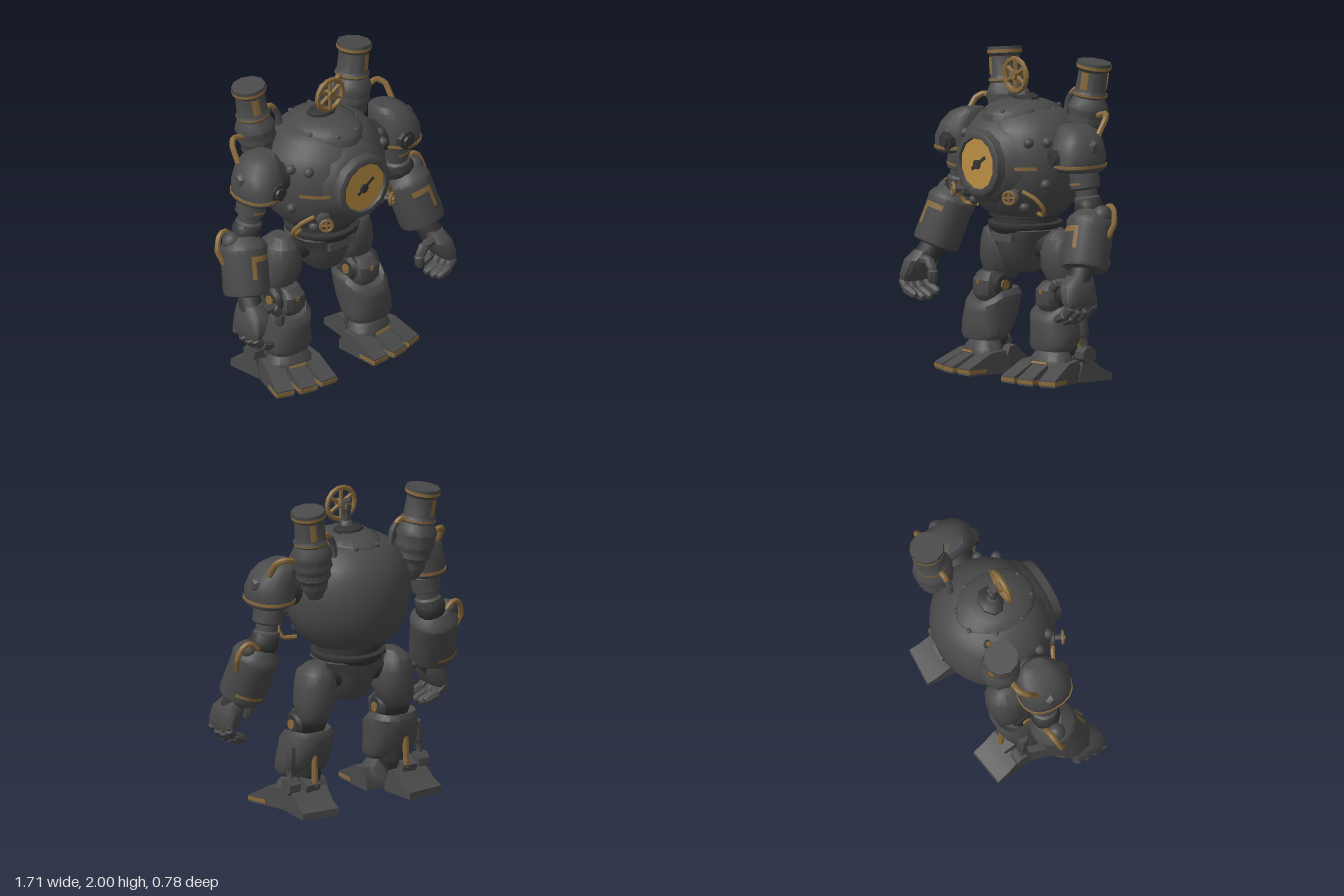
import * as THREE from 'three';
import { toCreasedNormals } from 'three/addons/utils/BufferGeometryUtils.js';

const V = (x, y, z) => new THREE.Vector3(x, y, z);

export function createModel() {
  const material = (name, color, side = THREE.FrontSide) => {
    const m = new THREE.MeshStandardMaterial({ color, side });
    m.name = name;
    return m;
  };
  const iron = material('iron', 0x4a4a4a);
  const dark = material('darkIron', 0x343434);
  const brass = material('brass', 0x86683a, THREE.DoubleSide);
  const dial = material('dialGold', 0xb98d42, THREE.DoubleSide);

  const model = new THREE.Group();
  const side = new THREE.Group(); // everything on +x, mirrored at the end

  function add(parent, name, mat, geo, pos = [0, 0, 0], rot = [0, 0, 0]) {
    const mesh = new THREE.Mesh(toCreasedNormals(geo, 0.7), mat);
    mesh.name = name;
    mesh.position.set(...pos);
    mesh.rotation.set(...rot);
    parent.add(mesh);
    return mesh;
  }

  // Skin through sections [y, cx, cz, rx, rz]; power above 2 gives boxier sections
  function loft(sections, sides = 14, power = 2) {
    const pos = [], idx = [];
    const bend = v => Math.sign(v) * Math.abs(v) ** (2 / power);
    for (const [y, cx, cz, rx, rz] of sections)
      for (let i = 0; i < sides; i++) {
        const a = (i + 0.5) / sides * Math.PI * 2;
        pos.push(cx + rx * bend(Math.sin(a)), y, cz + rz * bend(Math.cos(a)));
      }
    const first = sections[0], last = sections[sections.length - 1];
    const c0 = pos.length / 3, top = (sections.length - 1) * sides;
    pos.push(first[1], first[0], first[2], last[1], last[0], last[2]);
    for (let i = 0; i < sides; i++) {
      const n = (i + 1) % sides;
      for (let j = 0; j < top; j += sides)
        idx.push(j + i, j + n, j + sides + n, j + i, j + sides + n, j + sides + i);
      idx.push(c0, n, i, c0 + 1, top + i, top + n);
    }
    const g = new THREE.BufferGeometry();
    g.setAttribute('position', new THREE.Float32BufferAttribute(pos, 3));
    g.setIndex(idx);
    g.computeVertexNormals();
    return g;
  }

  // Round part from a to b with profile [fraction of length, radius]
  function limb(parent, name, mat, a, b, profile, sides = 12) {
    const d = V(...b).sub(V(...a)), len = d.length();
    const p = typeof profile === 'number' ? [[0, profile], [1, profile]] : profile;
    const m = add(parent, name, mat, loft(p.map(([t, r]) => [t * len, 0, 0, r, r]), sides), a);
    m.quaternion.setFromUnitVectors(V(0, 1, 0), d.normalize());
    return m;
  }
  const pipe = (parent, name, mat, pts, r) => add(parent, name, mat, new THREE.TubeGeometry(
    new THREE.CatmullRomCurve3(pts.map(p => V(...p)), false, 'catmullrom', 0.2), 14, r, 7));
  const ball = (parent, name, mat, r, pos) => add(parent, name, mat, new THREE.SphereGeometry(r, 12, 8), pos);
  // Thin curved band on a round part
  const patch = (parent, name, r, y0, y1, a0, a1) => add(parent, name, brass,
    new THREE.CylinderGeometry(r, r, y1 - y0, 14, 1, true, a0, a1 - a0), [0, (y0 + y1) / 2, 0]);

  // Boiler body
  const bodyProfile = [[1.0, .19], [1.04, .25], [1.12, .32], [1.23, .36], [1.36, .375], [1.48, .363],
    [1.57, .325], [1.64, .265], [1.68, .2], [1.69, .1]];
  add(model, 'boilerBody', iron, loft(bodyProfile.map(([y, r]) => [y, 0, -.016, r * 1.08, r]), 30));
  add(model, 'topHatch', iron, loft([[1.58, 0, .01, .215, .272], [1.655, 0, .01, .213, .265], [1.685, 0, .005, .2, .24],
    [1.715, 0, 0, .145, .16], [1.73, 0, 0, .09, .1]], 20));
  add(model, 'hatchCollar', dark, loft([[1.71, 0, -.02, .105, .08], [1.745, 0, -.02, .1, .075], [1.76, 0, -.02, .06, .05]], 8));
  for (let i = 0; i < 8; i++) {
    const a = (i + .5) / 8 * Math.PI * 2;
    ball(model, 'hatchRivet', iron, .017, [Math.sin(a) * .2, 1.675, Math.cos(a) * .245]);
  }

  // Round dial on the chest
  limb(model, 'dialFrame', iron, [.01, 1.355, .22], [.01, 1.355, .39],
    [[0, .29], [.5, .25], [.65, .215], [.95, .205], [1, .19], [1, .165], [.87, .158]], 12);
  add(model, 'dialFace', dial, new THREE.CircleGeometry(.159, 12, Math.PI / 12), [.01, 1.355, .374]);
  add(model, 'dialNeedle', dark, new THREE.BoxGeometry(.15, .02, .006), [.02, 1.36, .379], [0, 0, .6]);
  limb(model, 'dialHub', dark, [.005, 1.35, .37], [.005, 1.35, .388], .03, 8);

  // Valve wheel facing +z
  function wheel(parent, r, tube, spokes) {
    const g = new THREE.Group();
    g.name = 'valveWheel';
    add(g, 'wheelRim', brass, new THREE.TorusGeometry(r, tube, 6, 14));
    limb(g, 'wheelHub', brass, [0, 0, -tube * 1.6], [0, 0, tube * 1.6], r * .3, 8);
    for (let i = 0; i < spokes; i++) {
      const a = i / spokes * Math.PI * 2 + Math.PI / 2;
      limb(g, 'wheelSpoke', brass, [0, 0, 0], [Math.cos(a) * r, Math.sin(a) * r, 0], tube * .8, 6);
    }
    parent.add(g);
    return g;
  }
  wheel(model, .102, .017, 6).position.set(0, 1.88, .06);
  limb(model, 'wheelStem', iron, [0, 1.72, 0], [0, 1.92, 0], [[0, .05], [.3, .04], [.35, .03], [.65, .03], [.7, .036], [1, .03]], 8);
  limb(model, 'wheelAxle', brass, [0, 1.88, -.03], [0, 1.88, .08], .026, 8);

  // Waist and pelvis
  limb(model, 'waist', dark, [0, .9, -.02], [0, 1.04, -.02], [[0, .2], [.3, .235], [.45, .235], [.5, .2], [.7, .2], [.75, .23], [1, .23]], 18);
  add(model, 'pelvis', iron, loft([[.65, 0, -.02, .07, .08], [.68, 0, -.02, .11, .12], [.8, 0, -.02, .145, .17],
    [.87, 0, -.02, .195, .19], [.925, 0, -.02, .235, .2], [.94, 0, -.02, .2, .18]], 14, 2.6));
  add(model, 'pelvisPlate', iron, new THREE.BoxGeometry(.2, .05, .03), [0, .875, .165], [-.15, 0, 0]);

  // Chimney
  const chimney = limb(side, 'chimney', iron, [.35, 1.4, -.18], [.43, 1.985, -.215],
    [[0, .05], [.12, .085], [.18, .085], [.24, .11], [.3, .105], [.36, .125], [.42, .118], [.5, .13], [.56, .118],
      [.62, .1], [.66, .108], [.69, .098], [.9, .092], [.93, .108], [1, .108]], 10);
  patch(chimney, 'chimneyLip', .111, .553, .573, 0, Math.PI * 2);
  patch(chimney, 'chimneyBand', .109, .38, .394, 0, Math.PI * 2);
  patch(chimney, 'chimneyStripe', .1, .42, .53, .1, .6);
  patch(chimney, 'chimneyRearStripe', .1, .42, .53, 2.6, 3);
  pipe(side, 'shoulderPipe', brass, [[.5, 1.66, -.18], [.58, 1.68, -.18], [.62, 1.65, -.14], [.625, 1.56, -.08]], .019);
  pipe(side, 'hatchPipeTop', brass, [[.34, 1.77, -.2], [.28, 1.8, -.19], [.245, 1.77, -.185]], .018);
  pipe(side, 'hatchPipe', iron, [[.25, 1.775, -.185], [.22, 1.72, -.18], [.2, 1.6, -.18]], .021);

  // Body fittings
  patch(side, 'bodyStripe', .409, 1.33, 1.352, .55, 1.05).scale.set(1, 1, .92);
  limb(side, 'valveStem', iron, [.2, 1.17, .22], [.265, 1.165, .34], [[0, .05], [.6, .045], [.65, .018], [1, .018]], 8);
  const smallWheel = wheel(side, .038, .01, 4);
  smallWheel.position.set(.265, 1.165, .34);
  smallWheel.rotation.y = .5;
  pipe(side, 'lowerPipe', brass, [[.29, 1.2, .25], [.36, 1.16, .21], [.395, 1.1, .17], [.37, 1.05, .15], [.29, 1.05, .12]], .014);
  for (const [x, y, z] of [[.3, 1.5, .21], [.37, 1.24, .13], [.24, 1.09, .19], [.36, 1.5, .11]])
    ball(side, 'bodyBolt', iron, .033, [x, y, z]);

  // Shoulder
  limb(side, 'shoulderJoint', dark, [.3, 1.42, .01], [.56, 1.42, .01], .11);
  add(side, 'pauldron', iron, loft([[1.34, .57, .02, .12, .15], [1.36, .56, .02, .142, .172], [1.45, .555, .02, .145, .172],
    [1.53, .54, .01, .13, .155], [1.59, .515, 0, .105, .125], [1.62, .49, 0, .06, .08]], 16, 2.3));
  add(side, 'pauldronTrim', brass, loft([[1.368, .56, .02, .148, .178], [1.385, .56, .02, .148, .178]], 16, 2.3));
  limb(side, 'shoulderBolt', dark, [.52, 1.42, .15], [.52, 1.42, .21], [[0, .065], [.7, .06], [.75, .04], [1, .035]], 8);
  limb(side, 'shoulderSideBolt', iron, [.66, 1.49, 0], [.7, 1.49, 0], [[0, .05], [.6, .045], [1, .03]], 6);

  // Upper arm and elbow
  const upperArm = limb(side, 'upperArm', iron, [.61, 1.12, -.01], [.57, 1.38, 0],
    [[0, .07], [.1, .085], [.2, .085], [.25, .07], [.4, .07], [.45, .095], [.8, .095], [.85, .075], [1, .075]], 10);
  patch(upperArm, 'upperArmStripe', .098, .14, .155, -.5, .5);
  ball(side, 'elbow', dark, .095, [.62, 1.11, -.01]);

  // Forearm, built from the wrist upwards
  const forearm = limb(side, 'forearm', iron, [.715, .74, .11], [.65, 1.09, -.01],
    [[0, .1], [.03, .14], [.1, .147], [.7, .147], [.8, .152], [.88, .135], [1, .09]], 16);
  patch(forearm, 'forearmStripeTop', .15, .22, .255, -.6, .35);
  patch(forearm, 'forearmStripeSide', .15, .11, .255, .17, .37);
  patch(forearm, 'forearmRearStripe', .15, .06, .08, 2.2, 3.5);
  ball(side, 'forearmKnob', iron, .06, [.74, 1.08, -.01]);
  pipe(side, 'forearmPipe', brass, [[.7, 1.09, -.06], [.76, 1.14, -.06], [.81, 1.11, -.05], [.835, 1.03, -.03], [.81, .95, 0]], .018);

  // Hand curled towards the body
  limb(side, 'wrist', dark, [.7, .78, .1], [.74, .66, .18], .075, 10);
  add(side, 'palm', iron, loft([[.53, .785, .2, .04, .11], [.57, .775, .2, .06, .125], [.66, .745, .19, .075, .115],
    [.72, .73, .16, .06, .08]], 12, 3));
  function finger(name, pts, r) {
    for (let i = 0; i + 1 < pts.length; i++)
      limb(side, name, iron, pts[i], pts[i + 1], [[-.12, r * .7], [0, r], [.85, r * .9], [1.1, r * .55]], 7);
  }
  [[.29, .02], [.23, 0], [.17, 0], [.11, .025]].forEach(([z, lift]) =>
    finger('finger', [[.785, .57, z], [.8, .51 + lift, z], [.755, .46 + lift, z + .01], [.675, .43 + lift, z + .01]], .032));
  finger('thumb', [[.7, .67, .23], [.61, .665, .24], [.565, .61, .25], [.57, .54, .25]], .034);

  // Thigh and knee
  limb(side, 'hipJoint', dark, [.1, .83, -.05], [.26, .83, -.05], .09);
  add(side, 'thigh', iron, loft([[.57, .31, -.09, .085, .085], [.61, .305, -.09, .11, .11], [.7, .29, -.08, .13, .135],
    [.8, .285, -.08, .125, .14], [.88, .29, -.08, .1, .125], [.93, .28, -.08, .05, .07]], 14, 2.3));
  limb(side, 'knee', dark, [.2, .54, -.02], [.42, .54, -.02], [[0, .06], [.1, .085], [.9, .085], [1, .06]]);
  add(side, 'kneePlate', iron, loft([[.44, .3, .03, .06, .05], [.48, .3, .04, .085, .07], [.57, .3, .04, .085, .07], [.62, .3, .02, .06, .045]], 10, 3));
  add(side, 'kneeMark', brass, new THREE.BoxGeometry(.022, .025, .008), [.3, .56, .11]);
  for (const x of [.195, .425]) limb(side, 'kneePin', brass, [x - .006, .54, -.02], [x + .006, .54, -.02], .032, 8);

  // Shin armour, its top edge dipping at the front
  const shin = loft([[.2, .325, .04, .14, .1], [.23, .325, .03, .16, .12], [.31, .325, 0, .16, .15],
    [.4, .315, -.015, .155, .165], [.48, .31, -.025, .155, .17], [.515, .315, -.03, .135, .15], [.48, .315, -.03, .1, .11]], 16, 2.6);
  const sp = shin.attributes.position;
  for (let i = 0; i < sp.count; i++)
    if (sp.getY(i) > .35) sp.setY(i, sp.getY(i) - .55 * Math.max(0, sp.getZ(i)) * (sp.getY(i) - .35) / .13);
  shin.computeVertexNormals();
  add(side, 'shin', iron, shin);
  limb(side, 'ankle', dark, [.33, .05, -.03], [.33, .28, -.03], [[0, .05], [.4, .07], [.6, .1], [1, .1]], 10);
  limb(side, 'sidePiston', iron, [.49, .14, -.1], [.465, .42, -.08], [[0, .03], [.3, .022], [.5, .022], [.55, .034], [1, .034]], 8);
  limb(side, 'pistonJoint', iron, [.44, .17, -.1], [.52, .17, -.1], .055, 8);
  limb(side, 'rearPiston', brass, [.34, .16, -.16], [.34, .36, -.15], .02, 8);

  // Foot: side outlines [z, y] pulled across the width
  function slab(parent, name, mat, outline, w, pos, turn) {
    const shape = new THREE.Shape(outline.map(p => new THREE.Vector2(...p)));
    const g = new THREE.ExtrudeGeometry(shape, { depth: w, bevelEnabled: false });
    g.translate(0, 0, -w / 2).rotateY(-Math.PI / 2);
    return add(parent, name, mat, g, pos, [0, turn, 0]);
  }
  const foot = new THREE.Group();
  foot.name = 'foot';
  foot.position.set(.315, 0, 0);
  foot.rotation.y = .18;
  side.add(foot);
  for (const k of [-1, 0, 1]) {
    const pos = [k * .115, 0, k ? -.02 : 0], turn = k * .14;
    slab(foot, 'toe', iron, [[-.02, 0], [.3, 0], [.3, .045], [.22, .085], [.13, .13], [.02, .14], [-.02, .06]], .115, pos, turn);
    slab(foot, 'toeTrim', brass, [[.17, .012], [.304, .012], [.304, .036], [.17, .036]], .121, pos, turn);
  }
  add(foot, 'footCap', iron, loft([[.08, 0, .05, .16, .1], [.14, 0, .05, .145, .1], [.2, 0, .03, .1, .08]], 12, 2.6));
  add(foot, 'footStripe', brass, new THREE.BoxGeometry(.12, .015, .008), [0, .128, .162], [-.6, 0, 0]);
  slab(side, 'heel', iron, [[-.05, 0], [-.06, .06], [-.09, .14], [-.14, .15], [-.23, .075], [-.3, .045], [-.3, 0]], .25, [.36, 0, 0], -.1);
  add(side, 'heelBlock', iron, new THREE.BoxGeometry(.1, .08, .1), [.36, .16, -.12], [-.4, 0, 0]);

  // Bake the +x side and its mirror image
  side.updateMatrixWorld(true);
  const left = new THREE.Group(), right = new THREE.Group();
  left.name = 'leftSide';
  right.name = 'rightSide';
  side.traverse(o => {
    if (!o.isMesh) return;
    const g = o.geometry.clone().applyMatrix4(o.matrixWorld);
    const m = g.clone().applyMatrix4(new THREE.Matrix4().makeScale(-1, 1, 1));
    m.setIndex(Array.from({ length: m.attributes.position.count }, (_, i) => i + [0, 1, -1][i % 3]));
    [[left, g], [right, m]].forEach(([group, geo]) => {
      const mesh = new THREE.Mesh(geo, o.material);
      mesh.name = o.name;
      group.add(mesh);
    });
  });
  model.add(left, right);
  return model;
}
